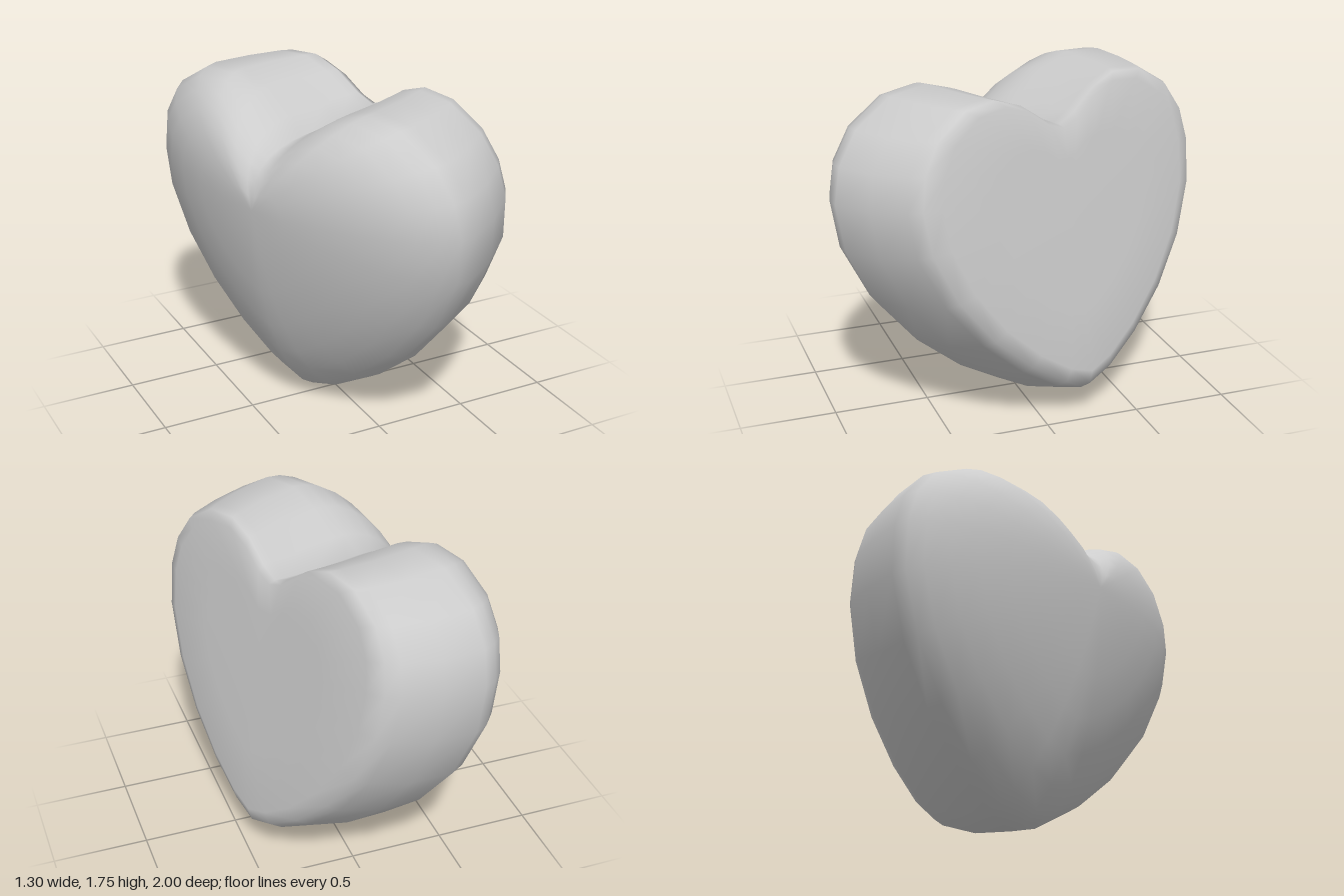
import * as THREE from 'three';

// Half of the heart outline, from the notch round to the tip: [across, up]
const HALF = [
  [0, 1.5], [0.12, 1.57], [0.28, 1.675], [0.46, 1.735], [0.68, 1.715], [0.89, 1.59],
  [1.0, 1.43], [1.04, 1.25], [1.015, 1.0], [0.88, 0.7], [0.67, 0.43], [0.42, 0.21],
  [0.18, 0.06], [0, 0],
];
const OUTLINE = [...HALF, ...HALF.slice(1, -1).reverse().map(([u, y]) => [-u, y])];

// Cross-sections from back to front: [depth, width scale, height scale, fixed height, lean]
function sections() {
  const rings = [];
  for (const s of [0.2, 0.4, 0.58, 0.73, 0.85, 0.94, 0.985]) {
    rings.push([-0.12 - 0.45 * Math.sqrt(1 - s * s), s, s, 1.2, 0.085]);
  }
  rings.push(
    [-0.12, 1, 1, 1.2, 0.09],
    [0.1, 0.95, 0.975, 1.72, 0.11],
    [0.3, 0.87, 0.92, 1.72, 0.15],
    [0.365, 0.825, 0.89, 1.71, 0.16],
    [0.4, 0.74, 0.825, 1.53, 0.16],
    [0.405, 0.45, 0.5, 1.2, 0.16],
  );
  return rings;
}

function heartGeometry() {
  const across = new THREE.Vector3(0.33, 0, 0.945);
  const facing = new THREE.Vector3(0.945, 0, -0.33);
  const positions = [];
  const index = [];
  const add = (u, y, w, lean) => {
    const sideways = u - 0.03 - 0.05 * Math.max(0, 1 - y / 1.2);
    const p = across.clone().multiplyScalar(sideways).addScaledVector(facing, w - lean * (y - 1.2));
    positions.push(p.x, y - 0.025 * u * y / 1.7, p.z);
  };

  // Rings of the heart; the notch softens towards the middle of each side
  const rings = sections();
  const n = OUTLINE.length;
  for (const [w, su, sy, pivot, lean] of rings) {
    OUTLINE.forEach(([u, y], i) => {
      const lift = i === 0 ? 0.12 * (1 - su) : 0;
      add(u * su, pivot + (y + lift - pivot) * sy, w, lean);
    });
  }
  const back = rings.length * n;
  const front = back + 1;
  add(0, 1.2, -0.57, 0.085);
  add(0, 1.1, 0.405, 0.16);

  // Walls between rings, then the two caps
  const last = (rings.length - 1) * n;
  for (let i = 0; i < n; i++) {
    const k = (i + 1) % n;
    for (let j = 0; j < rings.length - 1; j++) {
      const a = j * n, b = a + n;
      index.push(a + i, a + k, b + i, a + k, b + k, b + i);
    }
    index.push(back, k, i, front, last + i, last + k);
  }

  const geometry = new THREE.BufferGeometry();
  geometry.setAttribute('position', new THREE.Float32BufferAttribute(positions, 3));
  geometry.setIndex(index);
  geometry.computeVertexNormals();
  return geometry;
}

export function createModel() {
  const group = new THREE.Group();
  group.name = 'heartModel';
  const heart = new THREE.Mesh(
    heartGeometry(),
    new THREE.MeshStandardMaterial({ color: 0xcccccc }),
  );
  heart.name = 'heart';
  group.add(heart);
  return group;
}
